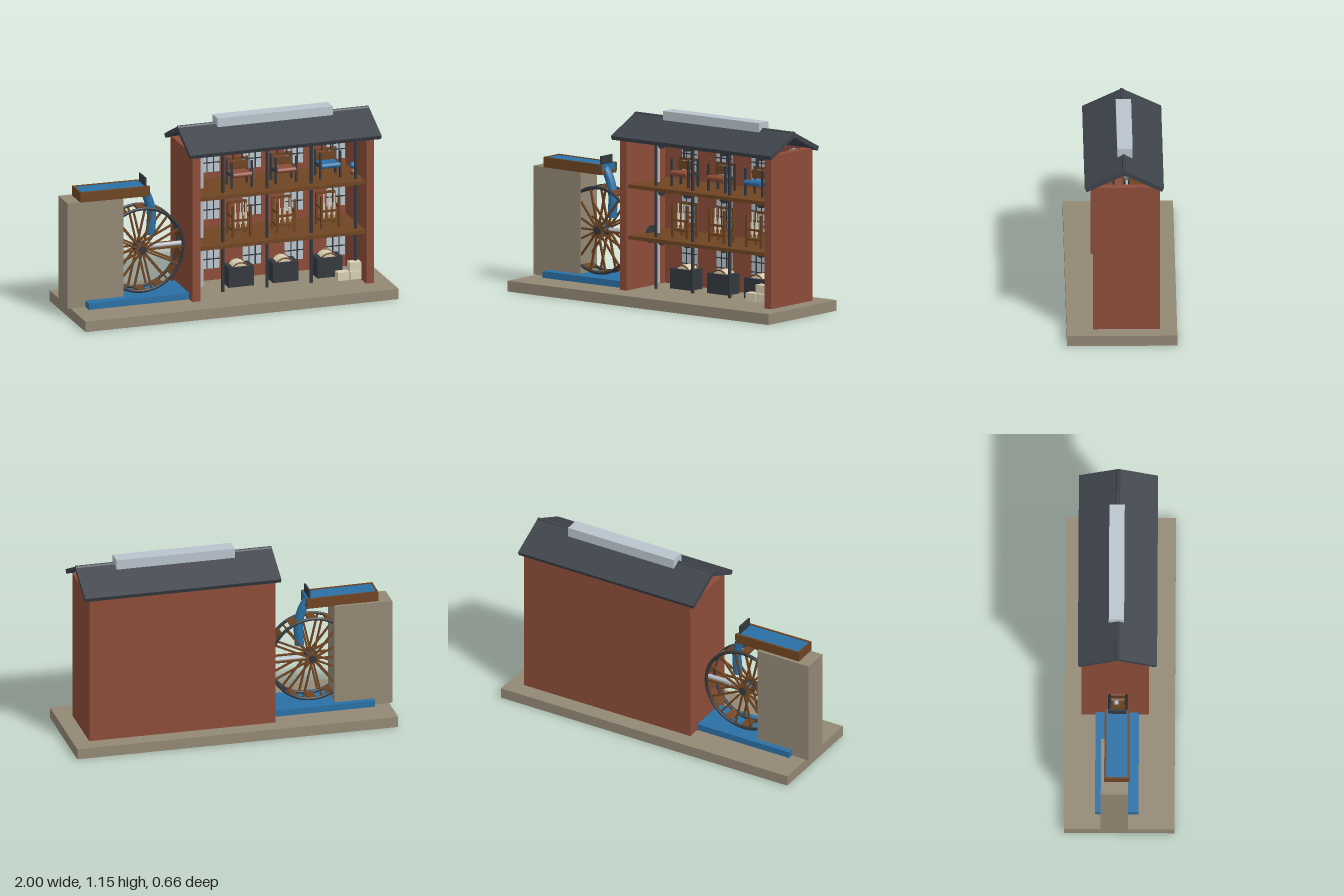
import * as THREE from 'three';

const material = (name, color) => {
  const m = new THREE.MeshStandardMaterial({ color });
  m.name = name;
  return m;
};

export function createModel() {
  const model = new THREE.Group();
  model.name = 'waterMill';
  const brick = material('brick', 0x8c4c38);
  const stone = material('stone', 0x938875);
  const slate = material('slate', 0x3e434a);
  const iron = material('iron', 0x33383e);
  const glass = material('glass', 0xb9c4cd);
  const wood = material('wood', 0x6f4522);
  const water = material('water', 0x2a70a6);
  const cotton = material('cotton', 0xd9ceb2);
  const steel = material('steel', 0xb4bac2);

  const add = (parent, name, geo, mat, x = 0, y = 0, z = 0) => {
    const m = new THREE.Mesh(geo, mat);
    m.name = name;
    m.position.set(x, y, z);
    parent.add(m);
    return m;
  };
  // Box given by its limits on each axis
  const box = (parent, name, mat, x0, x1, y0, y1, z0, z1) =>
    add(parent, name, new THREE.BoxGeometry(x1 - x0, y1 - y0, z1 - z0), mat,
      (x0 + x1) / 2, (y0 + y1) / 2, (z0 + z1) / 2);
  // Cylinder along a chosen axis
  const rod = (parent, name, mat, axis, r, len, x, y, z, sides = 20) => {
    const g = new THREE.CylinderGeometry(r, r, len, sides);
    if (axis === 'x') g.rotateZ(Math.PI / 2);
    if (axis === 'z') g.rotateX(Math.PI / 2);
    return add(parent, name, g, mat, x, y, z);
  };
  const group = (name, x = 0, y = 0, z = 0) => {
    const g = new THREE.Group();
    g.name = name;
    g.position.set(x, y, z);
    model.add(g);
    return g;
  };

  // Ground slab and open-fronted shell
  box(model, 'base', stone, -0.98, 1, 0, 0.065, -0.33, 0.33);
  box(model, 'leftWall', brick, 0.85, 0.9, 0.065, 0.99, -0.228, 0.174);
  box(model, 'rightWall', brick, -0.25, -0.2, 0.065, 0.99, -0.228, 0.174);
  box(model, 'backWall', brick, -0.2, 0.85, 0.065, 0.99, -0.228, -0.2);
  for (const y of [0.375, 0.685]) box(model, 'floor', wood, -0.2, 0.86, y, y + 0.022, -0.2, 0.16);

  // Roof slabs crossing at the ridge, with a long skylight
  const ridgeZ = -0.0135, slope = 0.447;
  for (const s of [1, -1]) {
    const slab = add(model, 'roofSlope', new THREE.BoxGeometry(1.21, 0.027, 0.27), slate,
      0.325, 1.046, ridgeZ + s * 0.109);
    slab.rotation.x = s * slope;
  }
  box(model, 'skylight', glass, -0.04, 0.69, 1.09, 1.15, -0.067, 0.025);

  // Arched windows on the inside of the back wall
  const pane = new THREE.Shape();
  pane.moveTo(-0.058, 0);
  pane.lineTo(0.058, 0);
  pane.lineTo(0.058, 0.177);
  pane.absarc(0, 0.177, 0.058, 0, Math.PI, false);
  pane.closePath();
  const paneGeo = new THREE.ExtrudeGeometry(pane, { depth: 0.006, bevelEnabled: false, curveSegments: 12 });
  for (const y of [0.14, 0.45, 0.745]) {
    for (let i = 0; i < 4; i++) {
      const w = group('window', -0.01 + i * 0.265, y, -0.2);
      add(w, 'pane', paneGeo, glass);
      for (const x of [-0.02, 0.02]) box(w, 'mullion', iron, x - 0.003, x + 0.003, 0, 0.225, 0.004, 0.011);
      for (const h of [0.06, 0.12, 0.177]) box(w, 'glazingBar', iron, -0.058, 0.058, h - 0.003, h + 0.003, 0.004, 0.011);
    }
  }

  // Iron columns on each storey
  for (const [y0, y1] of [[0.085, 0.375], [0.397, 0.685], [0.707, 0.975]]) {
    for (let i = 0; i < 4; i++) {
      const x = -0.033 + i * 0.28;
      rod(model, 'column', iron, 'y', 0.01, y1 - y0, x, (y0 + y1) / 2, 0.1, 12);
    }
  }

  // Upright shaft, line shafts, gears and pulleys
  const shaftZ = -0.03;
  rod(model, 'uprightShaft', steel, 'y', 0.015, 0.86, -0.125, 0.52, shaftZ);
  rod(model, 'wheelShaft', steel, 'x', 0.014, 0.4, -0.32, 0.38, shaftZ + 0.01);
  rod(model, 'driveGear', iron, 'x', 0.055, 0.016, -0.165, 0.385, shaftZ);
  for (const y of [0.36, 0.66, 0.945]) {
    rod(model, 'lineShaft', steel, 'x', 0.008, 0.95, 0.355, y, shaftZ, 12);
    rod(model, 'crownGear', iron, 'y', 0.036, 0.012, -0.125, y, shaftZ);
    rod(model, 'lineGear', iron, 'x', 0.036, 0.012, -0.088, y, shaftZ);
    for (let i = 0; i < 3; i++) rod(model, 'pulley', iron, 'z', 0.032, 0.03, 0.107 + i * 0.28, y, shaftZ, 24);
  }

  for (let i = 0; i < 3; i++) {
    const x = 0.107 + i * 0.28;

    // Ground floor: carding machine
    const card = group('cardingMachine', x, 0.085, -0.02);
    box(card, 'casing', iron, -0.08, 0.08, 0, 0.122, -0.05, 0.06);
    rod(card, 'drum', cotton, 'z', 0.06, 0.09, 0, 0.085, 0, 28);
    add(card, 'drumRim', new THREE.TorusGeometry(0.06, 0.005, 8, 28), wood, 0, 0.085, 0.045);
    add(card, 'drumRim', new THREE.TorusGeometry(0.06, 0.005, 8, 28), wood, 0, 0.085, -0.045);

    // First floor: spinning frame
    const frame = group('spinningFrame', x, 0.397, 0);
    for (const sx of [-0.055, 0.055]) {
      for (const sz of [-0.045, 0.045]) box(frame, 'leg', wood, sx - 0.007, sx + 0.007, 0, 0.2, sz - 0.007, sz + 0.007);
      box(frame, 'sideRail', wood, sx - 0.006, sx + 0.006, 0.12, 0.135, -0.045, 0.045);
    }
    for (const y of [0.045, 0.19]) box(frame, 'backRail', wood, -0.06, 0.06, y, y + 0.014, -0.051, -0.039);
    box(frame, 'bobbinBoard', wood, -0.06, 0.06, 0.04, 0.055, -0.05, 0.05);
    box(frame, 'frontRail', wood, -0.06, 0.06, 0.1, 0.112, 0.039, 0.051);
    for (let k = 0; k < 3; k++) {
      const bx = (k - 1) * 0.033;
      rod(frame, 'spindle', cotton, 'y', 0.004, 0.15, bx, 0.13, 0.02, 8);
      rod(frame, 'bobbin', cotton, 'y', 0.009, 0.07, bx, 0.11, 0.02, 10);
    }

    // Top floor: loom, the last one with dyed cloth
    const loom = group('loom', x, 0.707, 0);
    const cloth = i === 2 ? water : brick;
    for (const sx of [-0.064, 0.064]) {
      for (const sz of [-0.045, 0.045]) box(loom, 'post', iron, sx - 0.006, sx + 0.006, 0, 0.165, sz - 0.006, sz + 0.006);
      box(loom, 'sideBeam', iron, sx - 0.005, sx + 0.005, 0.07, 0.085, -0.045, 0.045);
      box(loom, 'belt', iron, sx * 0.45 - 0.003, sx * 0.45 + 0.003, 0.16, 0.24, shaftZ - 0.006, shaftZ + 0.006);
    }
    box(loom, 'topBeam', wood, -0.064, 0.064, 0.15, 0.165, -0.052, -0.038);
    box(loom, 'reed', wood, -0.058, 0.058, 0.1, 0.15, -0.02, -0.01);
    box(loom, 'cloth', cloth, -0.058, 0.058, 0.08, 0.088, -0.045, 0.05);
    rod(loom, 'clothRoll', cloth, 'x', 0.016, 0.116, 0, 0.082, 0.05);
  }

  // Cotton bales and yarn balls
  for (const [x, y] of [[0.718, 0.09], [0.795, 0.09], [0.793, 0.145]])
    box(model, 'bale', cotton, x - 0.036, x + 0.036, y, y + 0.05, 0.09, 0.145);
  add(model, 'blueYarnBall', new THREE.SphereGeometry(0.02, 16, 12), water, 0.797, 0.787, 0.08);
  add(model, 'redYarnBall', new THREE.SphereGeometry(0.02, 16, 12), brick, 0.797, 0.747, 0.08);

  // Stone pier, tail race and feed trough
  box(model, 'pier', stone, -1, -0.645, 0.065, 0.725, -0.11, 0.052);
  box(model, 'tailRace', water, -0.885, -0.25, 0.065, 0.105, -0.145, 0.115);
  const trough = group('trough', -0.7, 0.752, -0.015);
  trough.rotation.z = -0.01;
  box(trough, 'bed', wood, -0.22, 0.22, -0.03, -0.01, -0.075, 0.075);
  for (const s of [-1, 1]) box(trough, 'side', wood, -0.22, 0.22, -0.03, 0.032, s * 0.069 - 0.006, s * 0.069 + 0.006);
  box(trough, 'end', wood, -0.22, -0.21, -0.03, 0.032, -0.063, 0.063);
  box(trough, 'troughWater', water, -0.21, 0.215, -0.01, 0.028, -0.063, 0.063);
  box(model, 'sluiceGate', iron, -0.505, -0.495, 0.74, 0.83, -0.07, 0.04);

  // Falling water
  const fall = new THREE.CatmullRomCurve3([[-0.51, 0.755], [-0.475, 0.7], [-0.447, 0.6], [-0.452, 0.46]]
    .map(([x, y]) => new THREE.Vector3(x, y, -0.01)));
  add(model, 'fallingWater', new THREE.TubeGeometry(fall, 20, 0.028, 14), water);
  rod(model, 'fallEnd', water, 'y', 0.028, 0.004, -0.452, 0.46, -0.01, 14);

  // Water wheel: two rims, spokes, paddles and hub
  const wheel = group('waterWheel', -0.52, 0.38, -0.01);
  add(wheel, 'hub', new THREE.SphereGeometry(0.042, 20, 14), iron);
  rod(wheel, 'axle', iron, 'z', 0.024, 0.13, 0, 0, 0);
  for (const z of [-0.05, 0.05]) {
    add(wheel, 'rim', new THREE.TorusGeometry(0.258, 0.01, 8, 56), iron, 0, 0, z);
    for (let i = 0; i < 14; i++) {
      const a = (i / 14) * Math.PI * 2;
      const spoke = add(wheel, 'spoke', new THREE.BoxGeometry(0.235, 0.011, 0.011), wood,
        Math.cos(a) * 0.137, Math.sin(a) * 0.137, z);
      spoke.rotation.z = a;
    }
  }
  for (let i = 0; i < 14; i++) {
    const a = ((i + 0.5) / 14) * Math.PI * 2;
    const paddle = add(wheel, 'paddle', new THREE.BoxGeometry(0.014, 0.05, 0.1), wood,
      Math.cos(a) * 0.257, Math.sin(a) * 0.257, 0);
    paddle.rotation.z = a;
  }
  return model;
}
